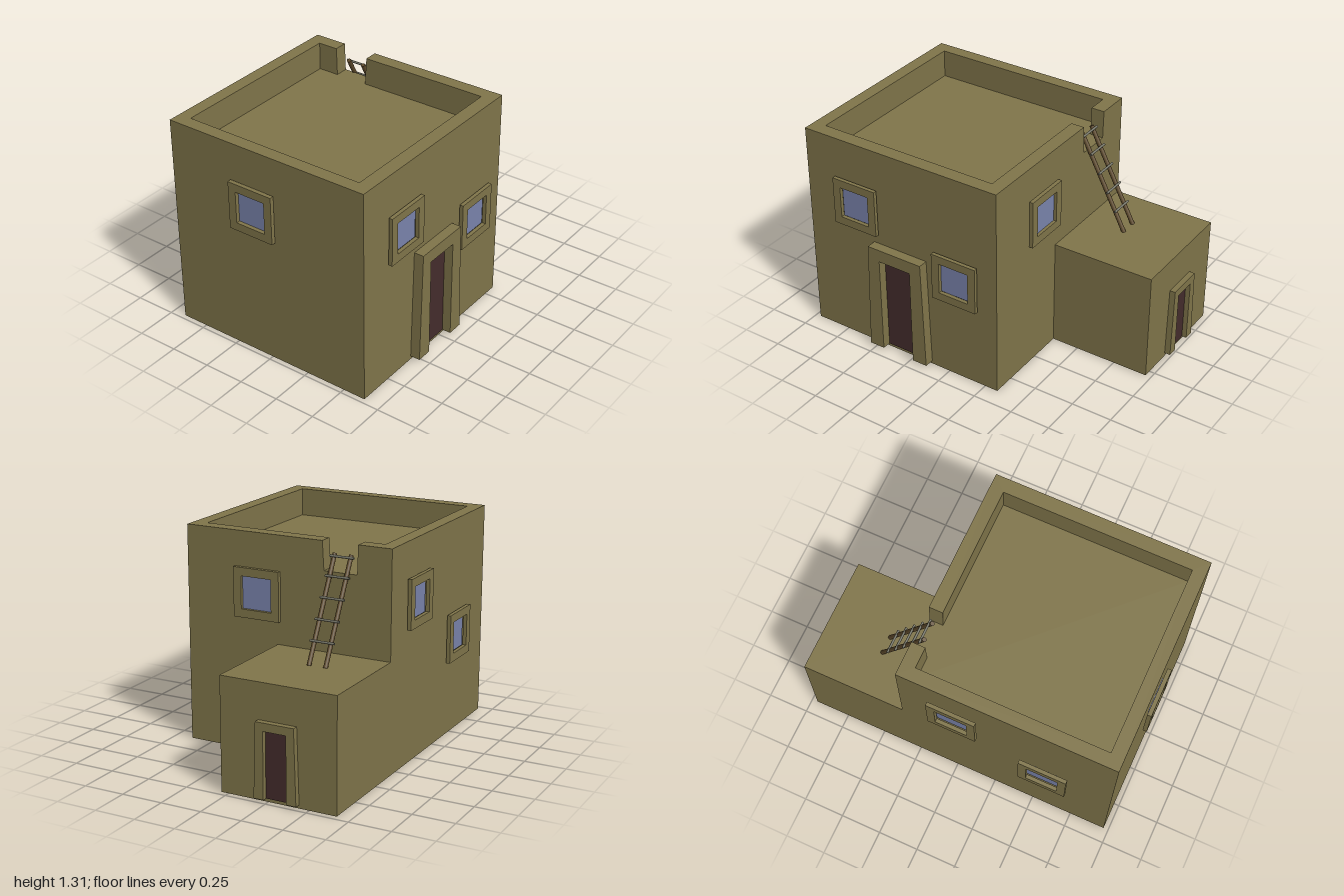
import * as THREE from 'three';

const mat = (color) => new THREE.MeshStandardMaterial({ color });
const clay = mat(0x80754a), glass = mat(0x7a84ac), wood = mat(0x442c2c);
const railMat = mat(0x5e4a2c), rungMat = mat(0x77776a);

// Rotation that turns a front-facing part to each side of the house
const SIDES = { front: 0, right: Math.PI / 2, back: Math.PI, left: -Math.PI / 2 };

function add(parent, name, geometry, material) {
  const mesh = new THREE.Mesh(geometry, material);
  mesh.name = name;
  parent.add(mesh);
  return mesh;
}

// Box given by its lower and upper corners
function block(parent, name, [x0, y0, z0], [x1, y1, z1], material) {
  const mesh = add(parent, name, new THREE.BoxGeometry(x1 - x0, y1 - y0, z1 - z0), material);
  mesh.position.set((x0 + x1) / 2, (y0 + y1) / 2, (z0 + z1) / 2);
  return mesh;
}

const points = (list) => list.map(([x, y]) => new THREE.Vector2(x, y));
const extrude = (shape, depth) => new THREE.ExtrudeGeometry(shape, { depth, bevelEnabled: false });

// Square window frame with a pane; u and y are its centre as seen from its own side
function addWindow(parent, side, u, y, wall, z0, z1) {
  const group = new THREE.Group();
  group.name = side + 'Window';
  const square = (r) => points([[-r, -r], [r, -r], [r, r], [-r, r]]);
  const shape = new THREE.Shape(square(0.147));
  shape.holes.push(new THREE.Path(square(0.097)));
  const frame = add(group, 'windowFrame', extrude(shape, z1 - z0), clay);
  frame.position.set(u, y, z0);
  block(group, 'windowPane', [u - 0.1, y - 0.1, wall - 0.01], [u + 0.1, y + 0.1, wall + 0.006], glass);
  group.rotation.y = SIDES[side];
  parent.add(group);
}

// Tapered door surround, open at the foot, with a recessed door leaf
function addDoor(parent, side, u, d) {
  const group = new THREE.Group();
  group.name = side + 'Door';
  const { foot, head, height, half, opening, z0, z1 } = d, y0 = 0.02;
  const shape = new THREE.Shape(points([
    [u - foot, y0], [u - half, y0], [u - half, opening], [u + half, opening],
    [u + half, y0], [u + foot, y0], [u + head, height], [u - head, height],
  ]));
  add(group, 'doorSurround', extrude(shape, z1 - z0), clay).position.z = z0;
  block(group, 'doorLeaf', [u - half, y0, z0 - 0.01], [u + half, opening, z0 + 0.006], wood);
  group.rotation.y = SIDES[side];
  parent.add(group);
}

// Parapet ring around the roof, with a gap that widens slightly upward
function parapetGeometry() {
  const [x0, x1, z0, z1] = [-0.97, 0.333, -0.665, 0.64];
  const [a0, a1, b0, b1] = [-0.89, 0.25, -0.585, 0.555];
  const shape = new THREE.Shape(points([
    [x1, 0.25], [x1, -z0 - 0.21], [x1, -z0], [x0, -z0], [x0, -z1], [x1, -z1], [x1, 0.25],
  ].slice(1, 6).concat([
    [x1, 0.25], [a1, 0.25], [a1, -b1], [a0, -b1], [a0, -b0], [a1, -b0], [a1, 0.455],
  ])));
  const geometry = extrude(shape, 0.17);
  geometry.rotateX(-Math.PI / 2);
  const p = geometry.attributes.position;
  for (let i = 0; i < p.count; i++) {
    if (p.getY(i) > 0.1 && Math.abs(p.getZ(i) + 0.25) < 0.001) p.setZ(i, -0.24);
    if (p.getY(i) > 0.1 && Math.abs(p.getZ(i) + 0.455) < 0.001) p.setZ(i, -0.46);
  }
  geometry.computeVertexNormals();
  return geometry;
}

// Leaning ladder: two round rails with rungs fixed to the outer face
function addLadder(parent) {
  const ladder = new THREE.Group();
  ladder.name = 'ladder';
  const foot = new THREE.Vector2(0.59, 0.67), top = new THREE.Vector2(0.29, 1.235);
  const run = top.clone().sub(foot);
  for (const z of [-0.295, -0.397]) {
    const rail = add(ladder, 'ladderRail', new THREE.CylinderGeometry(0.013, 0.013, run.length(), 12), railMat);
    rail.position.set((foot.x + top.x) / 2, (foot.y + top.y) / 2, z);
    rail.rotation.z = Math.atan2(-run.x, run.y);
  }
  for (const y of [0.797, 0.905, 1.014, 1.123, 1.224]) {
    const x = foot.x + run.x * (y - foot.y) / run.y + 0.014;
    const rung = add(ladder, 'ladderRung', new THREE.CylinderGeometry(0.007, 0.007, 0.15, 10), rungMat);
    rung.position.set(x, y, -0.349);
    rung.rotation.x = Math.PI / 2;
  }
  parent.add(ladder);
}

export function createModel() {
  const house = new THREE.Group();
  house.name = 'adobeHouse';

  // Main block, roof parapet and side annex
  block(house, 'mainBlock', [-0.97, 0, -0.665], [0.333, 1.14, 0.64], clay);
  add(house, 'roofParapet', parapetGeometry(), clay).position.y = 1.14;
  block(house, 'annex', [0.333, 0, -0.665], [0.965, 0.672, 0.045], clay);

  // Windows: side, centre across, centre height, wall plane, frame back and front
  addWindow(house, 'front', -0.617, 0.92, 0.64, 0.65, 0.673);
  addWindow(house, 'front', 0.062, 0.655, 0.64, 0.65, 0.673);
  addWindow(house, 'right', -0.173, 0.955, 0.333, 0.335, 0.358);
  addWindow(house, 'back', -0.002, 0.955, 0.665, 0.677, 0.7);
  addWindow(house, 'back', 0.557, 0.607, 0.665, 0.677, 0.7);
  addWindow(house, 'left', -0.095, 0.938, 0.97, 0.975, 1);

  // Doors of the main block and the annex
  addDoor(house, 'front', -0.328,
    { foot: 0.203, head: 0.183, height: 0.71, half: 0.107, opening: 0.632, z0: 0.64, z1: 0.7 });
  addDoor(house, 'right', 0.309,
    { foot: 0.13, head: 0.117, height: 0.46, half: 0.07, opening: 0.412, z0: 0.965, z1: 1 });

  addLadder(house);
  return house;
}
